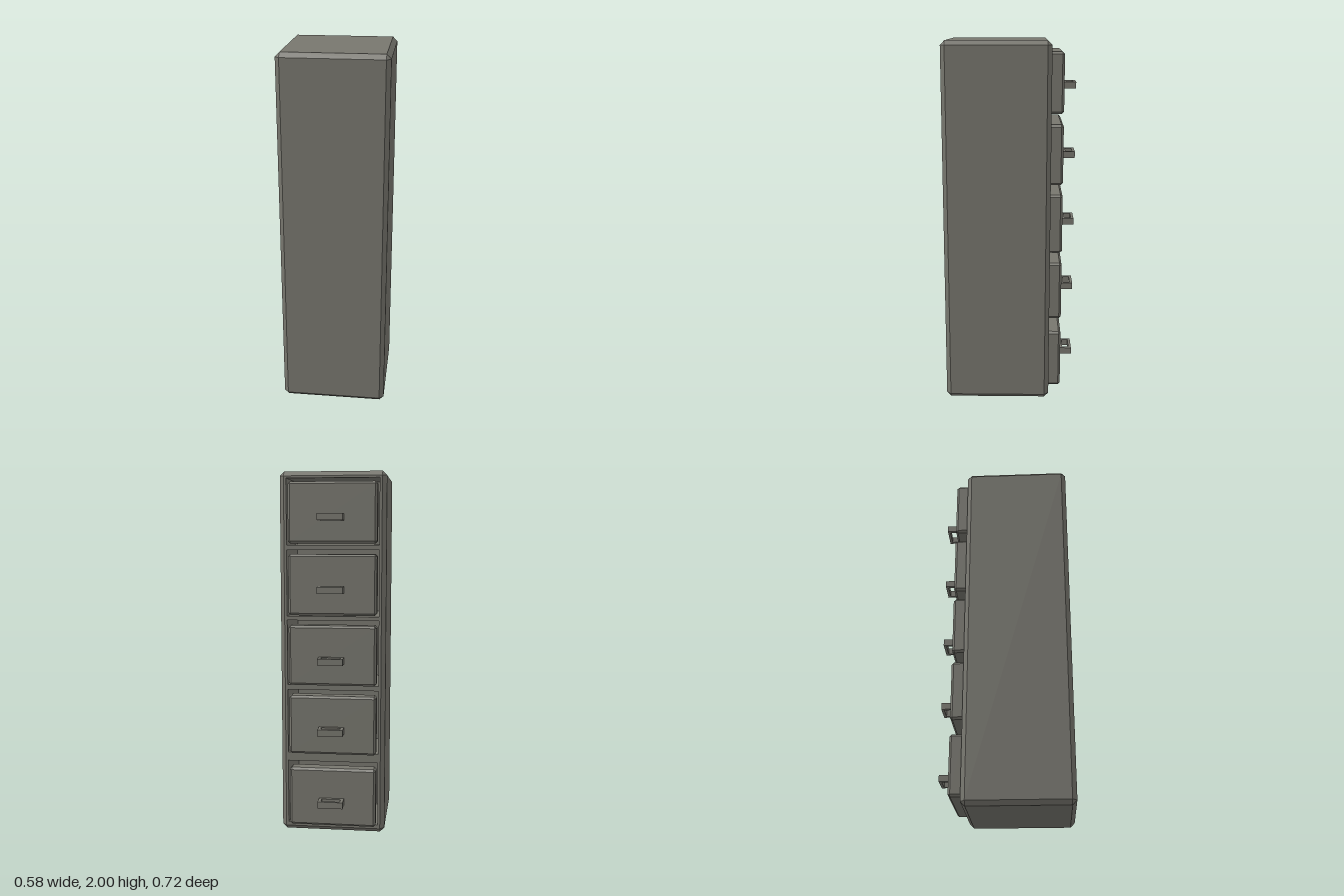
import * as THREE from 'three';
import { ConvexGeometry } from 'three/addons/geometries/ConvexGeometry.js';

// Box with chamfered edges, spanning min to max
function chamferBox(min, max, b) {
  const c = min.map((v, i) => (v + max[i]) / 2);
  const h = min.map((v, i) => (max[i] - v) / 2);
  const pts = [];
  for (const sx of [-1, 1]) for (const sy of [-1, 1]) for (const sz of [-1, 1]) {
    const s = [sx, sy, sz];
    for (let full = 0; full < 3; full++) {
      pts.push(new THREE.Vector3(...s.map((k, i) => c[i] + k * (h[i] - (i === full ? 0 : b)))));
    }
  }
  return new ConvexGeometry(pts);
}

// Remove the triangles lying in the plane z
function openAt(geometry, z) {
  const src = geometry.index ? geometry.toNonIndexed() : geometry;
  const p = src.attributes.position.array;
  const kept = [];
  for (let i = 0; i < p.length; i += 9) {
    const flat = [2, 5, 8].every((k) => Math.abs(p[i + k] - z) < 1e-4);
    if (!flat) kept.push(...p.subarray(i, i + 9));
  }
  const out = new THREE.BufferGeometry();
  out.setAttribute('position', new THREE.Float32BufferAttribute(kept, 3));
  out.computeVertexNormals();
  return out;
}

function rectangle(shape, x0, y0, x1, y1) {
  shape.moveTo(x0, y0);
  shape.lineTo(x1, y0);
  shape.lineTo(x1, y1);
  shape.lineTo(x0, y1);
  shape.closePath();
  return shape;
}

export function createModel() {
  const model = new THREE.Group();
  model.name = 'filingCabinet';
  const metal = new THREE.MeshStandardMaterial({ color: 0x77766e });
  metal.name = 'greyMetal';
  const lining = metal.clone();
  lining.name = 'greyMetalSheet';
  lining.side = THREE.DoubleSide;

  const add = (parent, geometry, name, material = metal) => {
    const mesh = new THREE.Mesh(geometry, material);
    mesh.name = name;
    parent.add(mesh);
    return mesh;
  };

  const W = 0.29, H = 2, Z0 = -0.223, Z1 = 0.358, B = 0.024;
  const openW = 0.252, cavityDepth = 0.36;

  // Cabinet shell, open on the drawer side
  add(model, openAt(chamferBox([-W, 0, Z0], [W, H, Z1], B), Z0), 'cabinetShell');

  // Face frame around the drawer openings
  const frame = rectangle(new THREE.Shape(), -W + B, B, W - B, H - B);

  // Drawer bottoms, tops and handle heights
  const drawers = [
    [0.055, 0.383, 0.197], [0.464, 0.79, 0.602], [0.849, 1.177, 0.989],
    [1.232, 1.56, 1.372], [1.618, 1.942, 1.756],
  ];

  // Handle: flat rectangular loop
  const loop = rectangle(new THREE.Shape(), -0.07, 0.288, 0.068, 0.361);
  loop.holes.push(rectangle(new THREE.Path(), -0.053, 0.31, 0.051, 0.346));
  const handleGeometry = new THREE.ExtrudeGeometry(loop, { depth: 0.036, bevelEnabled: false });
  handleGeometry.rotateX(-Math.PI / 2);
  handleGeometry.translate(0, -0.018, 0);

  for (const [y0, y1, handleY] of drawers) {
    const low = y0 - 0.01, high = y1 + 0.022;
    frame.holes.push(rectangle(new THREE.Path(), -openW, low, openW, high));

    // Cavity behind the drawer front
    const box = new THREE.BoxGeometry(openW * 2, high - low, cavityDepth);
    box.translate(0, (low + high) / 2, Z0 + cavityDepth / 2);
    add(model, openAt(box, Z0), 'drawerCavity', lining);

    const drawer = new THREE.Group();
    drawer.name = 'drawer';
    add(drawer, chamferBox([-0.245, y0, -0.29], [0.234, y1, -0.205], 0.012), 'drawerFront');
    add(drawer, handleGeometry, 'drawerHandle').position.y = handleY;
    model.add(drawer);
  }

  const frameMesh = add(model, new THREE.ShapeGeometry(frame), 'faceFrame', lining);
  frameMesh.position.z = Z0;

  return model;
}
